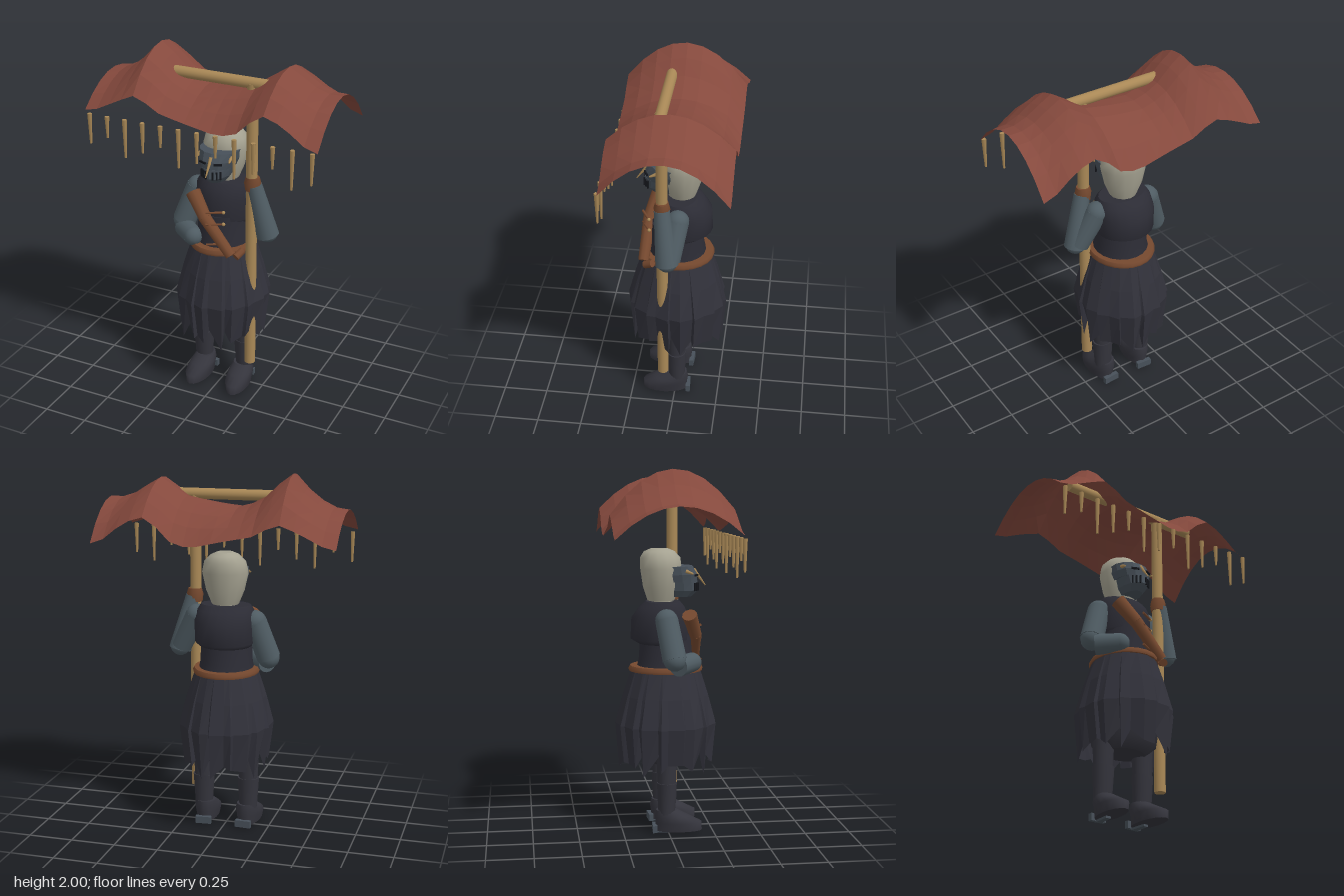
import * as THREE from 'three';

const mat = (name, color) => {
  const m = new THREE.MeshStandardMaterial({ color });
  m.name = name;
  return m;
};

// stacked elliptical rings, bottom to top: [y, radiusX, radiusZ, centreZ]
function loft(rings, n = 16, flat = false) {
  const pos = [], idx = [];
  rings.forEach(([y, rx, rz, cz = 0]) => {
    for (let i = 0; i < n; i++) {
      const a = (i / n) * Math.PI * 2;
      pos.push(Math.sin(a) * rx, y, Math.cos(a) * rz + cz);
    }
  });
  for (let j = 0; j < rings.length - 1; j++) {
    for (let i = 0; i < n; i++) {
      const k = (i + 1) % n, a = j * n + i, b = j * n + k, c = b + n, d = a + n;
      idx.push(a, b, c, a, c, d);
    }
  }
  // end caps on their own vertices, so that the rims stay sharp
  [[rings[0], false], [rings[rings.length - 1], true]].forEach(([[y, rx, rz, cz = 0], up]) => {
    const o = pos.length / 3;
    pos.push(0, y, cz);
    for (let i = 0; i < n; i++) {
      const a = (i / n) * Math.PI * 2;
      pos.push(Math.sin(a) * rx, y, Math.cos(a) * rz + cz);
    }
    for (let i = 0; i < n; i++) {
      const p = o + 1 + i, q = o + 1 + ((i + 1) % n);
      if (up) idx.push(o, p, q); else idx.push(o, q, p);
    }
  });
  return finish(pos, idx, flat);
}

function finish(pos, idx, flat) {
  let g = new THREE.BufferGeometry();
  g.setAttribute('position', new THREE.Float32BufferAttribute(pos, 3));
  g.setIndex(idx);
  if (flat) g = g.toNonIndexed();
  g.computeVertexNormals();
  return g;
}

// linear interpolation through [x, value] points
function sample(pts, x) {
  for (let i = 1; i < pts.length; i++) {
    if (x <= pts[i][0]) {
      const [x0, v0] = pts[i - 1], [x1, v1] = pts[i];
      return v0 + (v1 - v0) * (x - x0) / (x1 - x0);
    }
  }
  return pts[pts.length - 1][1];
}

export function createModel() {
  const cloth = mat('canopy red', 0x85493d);
  cloth.side = THREE.DoubleSide;
  const wood = mat('wood', 0xa98856);
  const tunic = mat('tunic', 0x2c2c35);
  const skirtMat = mat('skirt', 0x31313a);
  skirtMat.side = THREE.DoubleSide;
  const sleeve = mat('sleeve', 0x4f5c63);
  const leather = mat('leather', 0x76492f);
  const hood = mat('hood cream', 0xa5a291);
  const boot = mat('boot', 0x34343c);
  const steel = mat('mask steel', 0x475059);
  const black = mat('slit black', 0x14161b);

  const root = new THREE.Group();
  const add = (name, geo, m, x = 0, y = 0, z = 0) => {
    const o = new THREE.Mesh(geo, m);
    o.name = name;
    o.position.set(x, y, z);
    root.add(o);
    return o;
  };
  // tapered round bar between two points
  const bar = (name, a, b, ra, rb, m, n = 14) => {
    const p = new THREE.Vector3(...a), d = new THREE.Vector3(...b).sub(p);
    const o = add(name, new THREE.CylinderGeometry(rb, ra, d.length(), n), m);
    o.position.copy(p).addScaledVector(d, 0.5);
    o.quaternion.setFromUnitVectors(new THREE.Vector3(0, 1, 0), d.normalize());
    return o;
  };
  const ball = (name, p, r, m) => add(name, new THREE.SphereGeometry(r, 14, 10), m, ...p);

  // canopy: two ridges across x, drooping to softer waves at front and back
  const ridge = [[-0.665, 1.815], [-0.59, 1.825], [-0.48, 1.88], [-0.37, 2], [-0.27, 1.925], [-0.2, 1.85],
    [-0.07, 1.815], [0.1, 1.84], [0.22, 1.865], [0.37, 1.965], [0.51, 1.875], [0.6, 1.845], [0.66, 1.85]];
  const hem = [[-0.665, 1.66], [-0.58, 1.68], [-0.48, 1.735], [-0.37, 1.78], [-0.3, 1.755], [-0.22, 1.71],
    [-0.07, 1.68], [0.1, 1.645], [0.2, 1.655], [0.29, 1.745], [0.37, 1.795], [0.48, 1.755], [0.57, 1.675], [0.66, 1.645]];
  const cp = [], ci = [], nx = 18, nz = 8;
  for (let j = 0; j <= nz; j++) {
    for (let i = 0; i <= nx; i++) {
      const x = -0.665 + 1.325 * i / nx, z = -0.335 + 0.65 * j / nz;
      const y = THREE.MathUtils.lerp(sample(ridge, x), sample(hem, x), (z / 0.325) ** 2);
      cp.push(x, y, z);
      if (i < nx && j < nz) {
        const a = j * (nx + 1) + i, b = a + 1, c = a + nx + 1;
        ci.push(a, c, b, b, c, c + 1);
      }
    }
  }
  add('canopy', finish(cp, ci, true), cloth);

  // hanging spikes along the front edge
  for (let i = 0; i < 13; i++) {
    const x = -0.635 + i * 0.1058, len = [0.17, 0.12, 0.215][i % 3];
    bar('canopySpike', [x, 1.655 - len, 0.32], [x, 1.655, 0.32], 0.006, 0.013, wood, 6);
  }

  // pole and crossbar
  bar('pole', [0.195, 0.19, 0.062], [0.195, 1.87, 0.062], 0.031, 0.031, wood, 16);
  bar('crossbar', [-0.43, 1.87, 0.06], [0.43, 1.87, 0.06], 0.03, 0.03, wood, 16);

  // torso with a fuller mantle over the chest and shoulders
  add('torso', loft([[0.88, 0.16, 0.17], [0.96, 0.145, 0.15], [1.1, 0.14, 0.14]], 20), tunic);
  add('mantle', loft([[1.05, 0.145, 0.135, -0.02], [1.075, 0.165, 0.165, -0.03], [1.19, 0.17, 0.16, -0.03],
    [1.25, 0.16, 0.125, -0.02], [1.28, 0.14, 0.095, -0.015]], 20), tunic);
  add('belt', loft([[0.896, 0.182, 0.203], [0.91, 0.186, 0.207], [0.926, 0.178, 0.198]], 24), leather);

  // pleated skirt with broad folds and a ragged hem
  const sp = [], si = [], n = 36;
  [[0.92, 0.17, 0.187], [0.76, 0.222, 0.238], [0.6, 0.264, 0.282], [0.39, 0.238, 0.262]].forEach(([y, rx, rz], j) => {
    for (let i = 0; i < n; i++) {
      const a = (i + 0.5 * Math.sin(i * 4.1)) / n * Math.PI * 2;
      const pleat = i % 2 ? 1 - 0.03 * j : 1;
      const drop = j === 3 ? (i % 2 ? 0.03 : -0.025) + 0.035 * Math.sin(i * 2.3) : 0;
      sp.push(Math.sin(a) * rx * pleat, y + drop, Math.cos(a) * rz * pleat);
      if (j) {
        const k = (i + 1) % n, t = (j - 1) * n, b = j * n;
        si.push(b + i, b + k, t + k, b + i, t + k, t + i);
      }
    }
  });
  add('skirt', finish(sp, si, true), skirtMat);
  add('hips', loft([[0.38, 0.12, 0.1], [0.43, 0.18, 0.17], [0.58, 0.2, 0.2], [0.8, 0.17, 0.18]]), boot);

  // legs and boots
  for (const s of [-1, 1]) {
    const leg = new THREE.Group();
    leg.name = s > 0 ? 'leftLeg' : 'rightLeg';
    const part = (name, geo, m, x = 0, y = 0, z = 0) => leg.add(add(name, geo, m, x, y, z));
    part('thigh', loft([[0.26, 0.052, 0.05, -0.008], [0.48, 0.062, 0.06, -0.008]]), boot, s * 0.01);
    part('shin', loft([[0.1, 0.05, 0.045, -0.01], [0.2, 0.056, 0.052, -0.008], [0.285, 0.062, 0.055, -0.008]]), boot, s * 0.01);
    part('foot', loft([[0.012, 0.06, 0.13, 0.058], [0.06, 0.07, 0.128, 0.058], [0.095, 0.068, 0.095, 0.02],
      [0.13, 0.055, 0.057, -0.01]]), boot);
    part('heelPlate', new THREE.BoxGeometry(0.09, 0.04, 0.025), steel, 0, 0.026, -0.075);
    part('soleBar', new THREE.BoxGeometry(0.03, 0.016, 0.1), steel, 0, 0.008, -0.02);
    leg.position.set(s * 0.121, 0, 0);
    leg.rotation.y = s * 0.06;
    root.add(leg);
  }

  // left arm raised to the pole, with a wide cut sleeve at the elbow
  const elbowL = [0.278, 1.0, 0.025];
  bar('leftUpperArm', [0.165, 1.21, -0.02], [0.265, 1.02, 0.01], 0.062, 0.056, sleeve);
  ball('leftShoulder', [0.165, 1.21, -0.02], 0.062, sleeve);
  bar('leftForearm', elbowL, [0.208, 1.3, 0.06], 0.063, 0.043, sleeve);
  ball('leftElbow', [0.276, 1.02, 0.025], 0.058, sleeve);
  add('leftGlove', loft([[1.27, 0.042, 0.04], [1.31, 0.047, 0.045], [1.345, 0.038, 0.036]], 10), leather, 0.2, 0, 0.06);

  // right arm folded across the belly
  const elbowR = [-0.235, 0.985, 0.02];
  bar('rightUpperArm', [-0.165, 1.195, -0.015], elbowR, 0.063, 0.066, sleeve);
  ball('rightShoulder', [-0.165, 1.19, -0.015], 0.063, sleeve);
  ball('rightElbow', elbowR, 0.062, sleeve);
  bar('rightForearm', [-0.225, 0.95, 0.04], [-0.125, 0.955, 0.13], 0.058, 0.053, sleeve);
  ball('rightCuff', [-0.125, 0.955, 0.13], 0.053, sleeve);

  // chest sheath leaning back to the shoulder, with small pegs
  bar('sheath', [0.125, 0.91, 0.175], [-0.04, 1.1, 0.16], 0.03, 0.036, leather, 10);
  bar('sheathTop', [-0.035, 1.095, 0.16], [-0.13, 1.215, 0.115], 0.036, 0.042, leather, 10);
  bar('sheathEnd', [0.15, 0.9, 0.165], [0.17, 0.925, 0.12], 0.022, 0.022, leather, 8);
  for (const y of [0.955, 1.075, 1.145]) {
    bar('peg', [-0.015, y, 0.195], [0.07, y, 0.15], 0.007, 0.007, leather, 6);
    ball('pegTip', [0.07, y, 0.15], 0.01, wood);
  }

  // head under a faceted hood
  add('neck', loft([[1.25, 0.065, 0.06, -0.02], [1.31, 0.065, 0.06, -0.02]]), hood);
  add('hood', loft([[1.285, 0.075, 0.075, -0.025], [1.36, 0.106, 0.1, -0.025], [1.46, 0.128, 0.115, -0.025],
    [1.52, 0.114, 0.112, -0.03], [1.555, 0.08, 0.085, -0.035], [1.57, 0.045, 0.05, -0.035]], 14), hood);

  // steel mask: visor, jaw, slits and straight brow fang
  add('visor', loft([[1.39, 0.094, 0.12, 0.055], [1.43, 0.108, 0.125, 0.05], [1.475, 0.112, 0.105, 0.045]], 14, true), steel);
  add('jaw', loft([[1.305, 0.05, 0.08, 0.065], [1.34, 0.073, 0.115, 0.068], [1.39, 0.088, 0.115, 0.063]], 14, true), steel);
  for (const s of [-1, 1]) {
    for (let i = 0; i < 3; i++) {
      const slit = add('breathSlit', new THREE.BoxGeometry(0.009, 0.045, 0.008), black, s * (0.02 + i * 0.018), 1.36, 0.179 - i * 0.012);
      slit.rotation.y = s * (0.2 + i * 0.25);
    }
    const eye = add('eyeSlit', new THREE.BoxGeometry(0.045, 0.01, 0.009), black, s * 0.045, 1.425, 0.166);
    eye.rotation.y = s * 0.42;
    bar('templePeg', [s * 0.09, 1.45, 0.1], [s * 0.098, 1.435, 0.14], 0.012, 0.005, wood, 6);
  }
  bar('browFang', [0, 1.455, 0.155], [0, 1.365, 0.222], 0.011, 0.003, wood, 6);

  return root;
}
